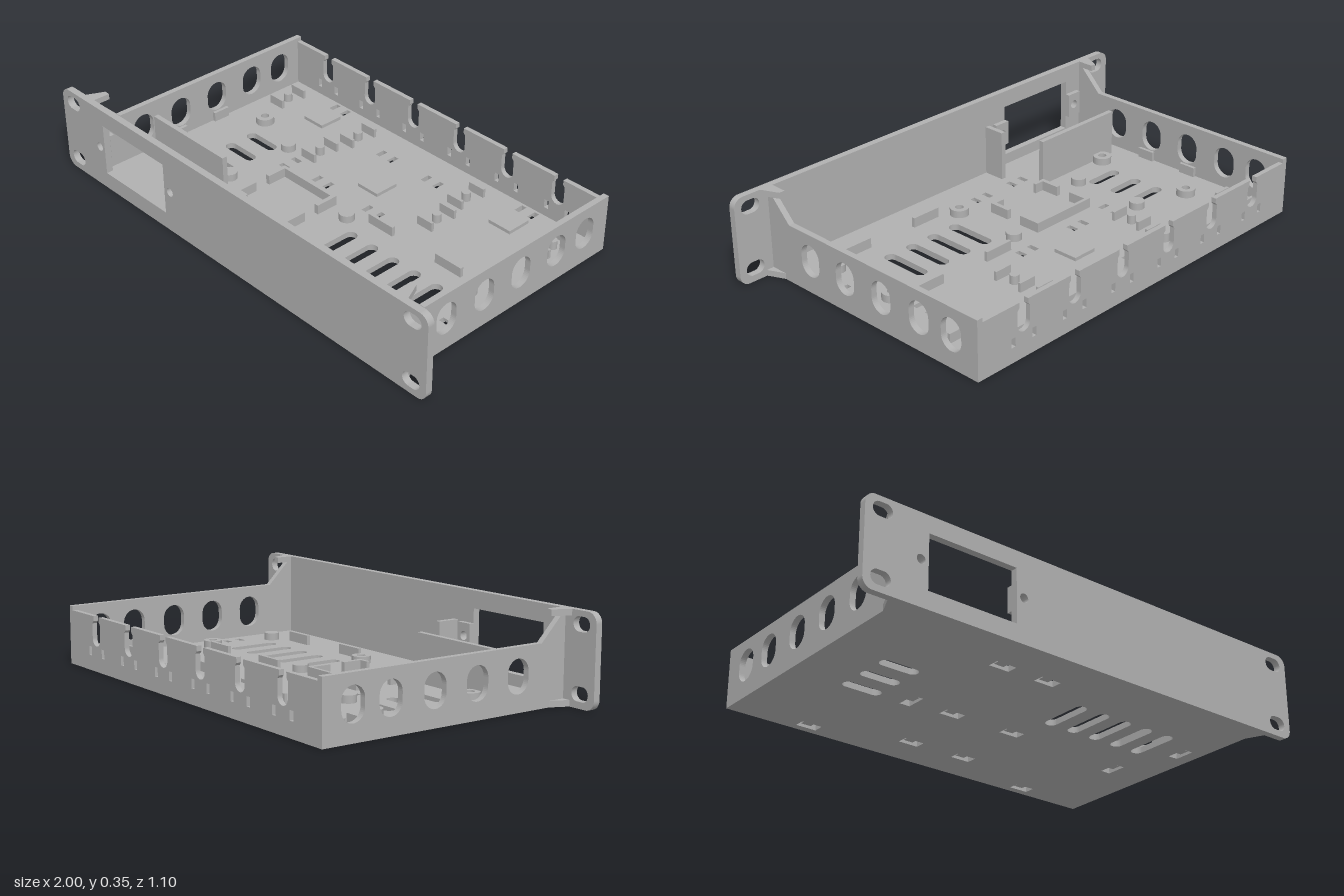
import * as THREE from 'three';

const steel = new THREE.MeshStandardMaterial({ color: 0xb0b0b0 });
steel.name = 'grey plastic';

const FLOOR = 0.024, WALL = 0.024, FRONT = 0.522, BACK = -0.55, HALF = 0.85;

// Stadium or round opening of size w x h centred on (x, y)
function slot(x, y, w, h) {
  const p = new THREE.Path(), r = Math.min(w, h) / 2, dx = w / 2 - r, dy = h / 2 - r;
  if (w > h) {
    p.absarc(x + dx, y, r, -Math.PI / 2, Math.PI / 2, false);
    p.absarc(x - dx, y, r, Math.PI / 2, Math.PI * 1.5, false);
  } else {
    p.absarc(x, y + dy, r, 0, Math.PI, false);
    p.absarc(x, y - dy, r, Math.PI, Math.PI * 2, false);
  }
  p.closePath();
  return p;
}

// Rectangle centred on (x, y)
function rect(x, y, w, h, Type = THREE.Path) {
  return new Type([[-1, -1], [1, -1], [1, 1], [-1, 1]]
    .map(([a, b]) => new THREE.Vector2(x + a * w / 2, y + b * h / 2)));
}

function polygon(points) {
  return new THREE.Shape(points.map(([x, y]) => new THREE.Vector2(x, y)));
}

function extrude(shape, depth) {
  return new THREE.ExtrudeGeometry(shape, { depth, bevelEnabled: false, curveSegments: 12 });
}

export function createModel() {
  const model = new THREE.Group();
  model.name = 'rackTray';

  const add = (name, geometry, x = 0, y = 0, z = 0) => {
    const mesh = new THREE.Mesh(geometry, steel);
    mesh.name = name;
    mesh.position.set(x, y, z);
    model.add(mesh);
    return mesh;
  };
  // Block standing on the floor, given by its plan limits and top height
  const block = (name, x0, x1, z0, z1, top, bottom = FLOOR - 0.004) =>
    add(name, new THREE.BoxGeometry(x1 - x0, top - bottom, z1 - z0),
      (x0 + x1) / 2, (top + bottom) / 2, (z0 + z1) / 2);
  // Flat plate drawn in plan (x, -z) and raised to y
  const plate = (name, shape, y, depth) => add(name, extrude(shape, depth).rotateX(-Math.PI / 2), 0, y, 0);

  // Front panel with rounded corners, ear slots, window and screw holes
  const panel = new THREE.Shape(), r = 0.04, H = 0.353;
  panel.absarc(1 - r, r, r, -Math.PI / 2, 0, false);
  panel.absarc(1 - r, H - r, r, 0, Math.PI / 2, false);
  panel.absarc(-1 + r, H - r, r, Math.PI / 2, Math.PI, false);
  panel.absarc(-1 + r, r, r, Math.PI, Math.PI * 1.5, false);
  for (const x of [-0.93, 0.93]) for (const y of [0.053, 0.304]) panel.holes.push(slot(x, y, 0.08, 0.055));
  panel.holes.push(rect(-0.555, 0.177, 0.374, 0.215));
  for (const x of [-0.773, -0.335]) panel.holes.push(slot(x, 0.177, 0.036, 0.036));
  add('frontPanel', extrude(panel, 0.028), 0, 0, FRONT);

  // Screw bosses behind the panel
  for (const x of [-0.775, -0.335]) {
    const boss = rect(x, 0.177, 0.068, 0.1, THREE.Shape);
    boss.holes.push(slot(x < -0.5 ? -0.773 : x, 0.177, 0.036, 0.036));
    add('screwBoss', extrude(boss, 0.02), 0, 0, FRONT - 0.02);
  }

  // Floor: upper layer has paired tie slots, lower layer a groove joining each pair
  const floorShape = () => rect(0, -(FRONT + BACK) / 2, HALF * 2, FRONT - BACK, THREE.Shape);
  const upper = floorShape(), lower = floorShape();
  const vents = [];
  for (const z of [-0.09, 0.022, 0.137]) vents.push([-0.56, -z, 0.162, 0.046]);
  for (const x of [0.171, 0.283, 0.393, 0.503, 0.613]) vents.push([x, -0.182, 0.05, 0.212]);
  for (const v of vents) {
    upper.holes.push(slot(...v));
    lower.holes.push(slot(...v));
  }
  const tiesAcross = [[-0.524, -0.497], [0.519, -0.497], [-0.128, -0.385], [0.125, -0.385],
    [-0.168, -0.07], [0.117, -0.07], [-0.284, 0.37], [-0.08, 0.37]];
  for (const [x, z] of tiesAcross) {
    for (const s of [-1, 1]) upper.holes.push(rect(x + s * 0.032, -z, 0.022, 0.044));
    lower.holes.push(rect(x, -z, 0.086, 0.044));
  }
  for (const [x, z] of [[-0.358, -0.068], [0.668, -0.102], [0.77, 0.182]]) {
    for (const s of [-1, 1]) upper.holes.push(rect(x, -z + s * 0.032, 0.044, 0.022));
    lower.holes.push(rect(x, -z, 0.044, 0.086));
  }
  plate('floorLower', lower, 0, FLOOR / 2);
  plate('floorUpper', upper, FLOOR / 2, FLOOR / 2);

  // Side walls with oval openings and a rising brace at the front
  const side = polygon([[-FRONT, 0], [-BACK, 0], [-BACK, 0.237], [-0.41, 0.237], [-0.503, 0.33], [-FRONT, 0.33]]);
  for (const z of [0.3, 0.111, -0.078, -0.268, -0.425]) side.holes.push(slot(-z, 0.131, 0.097, 0.128));
  for (const x of [-HALF, HALF - WALL]) add('sideWall', extrude(side, WALL).rotateY(Math.PI / 2), x, 0, 0);

  // Triangular ear gussets at the top and bottom of the panel
  for (const s of [-1, 1]) for (const y of [0, 0.329]) {
    const tri = [[HALF - WALL, -FRONT], [0.882, -FRONT], [HALF, -0.452], [HALF - WALL, -0.452]];
    plate('earGusset', polygon(tri.map(([x, z]) => [s * x, z])), y, 0.024);
  }

  // Rear wall with cable notches and tie slots beneath them
  const top = 0.22, rear = new THREE.Shape();
  const notches = [-0.633, -0.38, -0.127, 0.127, 0.38, 0.633];
  rear.moveTo(HALF, top);
  rear.lineTo(HALF, 0);
  rear.lineTo(-HALF, 0);
  rear.lineTo(-HALF, top);
  for (const x of notches) {
    rear.lineTo(x - 0.021, top);
    rear.lineTo(x - 0.021, top - 0.02);
    rear.lineTo(x - 0.03, top - 0.03);
    rear.absarc(x, 0.132, 0.03, Math.PI, Math.PI * 2, false);
    rear.lineTo(x + 0.03, top - 0.03);
    rear.lineTo(x + 0.021, top - 0.02);
    rear.lineTo(x + 0.021, top);
    for (const s of [-1, 1]) rear.holes.push(rect(x + s * 0.05, 0.078, 0.02, 0.036));
  }
  rear.closePath();
  add('rearWall', extrude(rear, 0.02), 0, 0, BACK);

  // Partition behind the window and its guide rib
  block('partition', -0.76, -0.335, 0.273, 0.294, 0.215);
  block('guideRib', -0.278, -0.257, 0.43, FRONT, 0.23);

  // Small board holders: a peg between two rails
  const holders = [[-0.737, -0.392], [-0.305, -0.392], [0.3, -0.392], [0.735, -0.392], [-0.33, -0.204], [0.323, -0.204]];
  for (const [x, z] of holders) {
    for (const s of [-1, 1]) {
      const rz = z + s * 0.061;
      block('holderRail', x - 0.038, x + 0.038, rz - 0.006, rz + 0.006, 0.062);
    }
    add('holderPeg', new THREE.CylinderGeometry(0.018, 0.018, 0.04, 20), x, FLOOR + 0.016, z);
  }
  // Support pads under the small boards
  for (const [x, z] of [[-0.52, -0.392], [0, -0.204], [0.519, -0.392]])
    block('supportPad', x - 0.053, x + 0.053, z - 0.053, z + 0.053, FLOOR + 0.014);

  // Standoffs: drilled ones and plain ones
  for (const [x, z] of [[-0.668, -0.203], [-0.666, 0.243], [0.703, 0.035], [0.08, 0.333]]) {
    const ring = slot(x, -z, 0.076, 0.076);
    const shape = new THREE.Shape(ring.getPoints(12));
    shape.holes.push(slot(x, -z, 0.034, 0.034));
    plate('drilledStandoff', shape, FLOOR, 0.03);
  }
  for (const [x, z] of [[-0.444, -0.134], [-0.444, 0.176], [0.08, 0.035], [0.703, 0.333]])
    add('plainStandoff', new THREE.CylinderGeometry(0.031, 0.031, 0.034, 24), x, FLOOR + 0.013, z);

  // Edge rails around the large board and beside the left wall
  for (const x of [0.217, 0.566]) for (const z of [-0.015, 0.382])
    block('boardRail', x - 0.064, x + 0.064, z - 0.007, z + 0.007, 0.064);
  for (const z of [-0.09, 0.13]) block('wallRail', -0.828, -0.812, z - 0.037, z + 0.037, 0.064);

  // Square cradle: back bar, four legs and two front feet
  block('cradleBack', -0.316, -0.016, 0, 0.014, 0.064);
  for (const s of [-1, 1]) {
    const outer = -0.166 + s * 0.15, inner = outer - s * 0.018, foot = outer - s * 0.058;
    const x0 = Math.min(outer, inner), x1 = Math.max(outer, inner);
    block('cradleLeg', x0, x1, 0.014, 0.096, 0.064);
    block('cradleLeg', x0, x1, 0.162, 0.24, 0.064);
    block('cradleFoot', Math.min(outer, foot), Math.max(outer, foot), 0.24, 0.254, 0.064);
  }
  return model;
}
